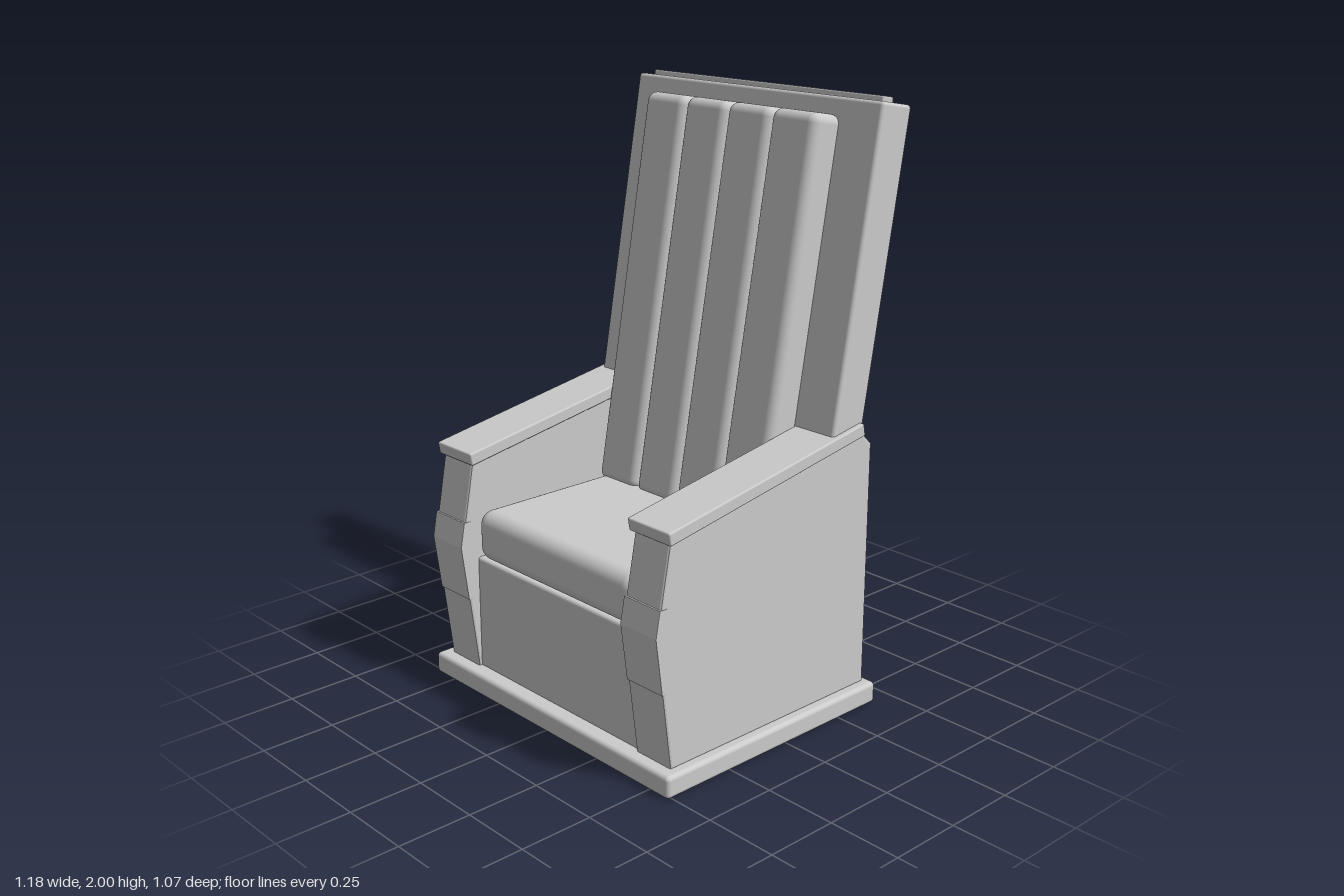
import * as THREE from 'three';
import { RoundedBoxGeometry } from 'three/addons/geometries/RoundedBoxGeometry.js';

const TILT = THREE.MathUtils.degToRad(10);

export function createModel() {
  const chair = new THREE.Group();
  chair.name = 'highBackChair';
  const grey = new THREE.MeshStandardMaterial({ color: 0xcccccc });
  grey.name = 'light grey';

  function add(name, geometry, x, y, z, parent = chair) {
    const mesh = new THREE.Mesh(geometry, grey);
    mesh.name = name;
    mesh.position.set(x, y, z);
    parent.add(mesh);
    return mesh;
  }
  const box = (w, h, d, r, segments = 3) => new RoundedBoxGeometry(w, h, d, segments, r);

  // Side profile given as [z, y] points, extruded across x with a small bevel
  function profile(points, width, bevel) {
    const shape = new THREE.Shape(points.map(([z, y]) => new THREE.Vector2(z, y)));
    const geometry = new THREE.ExtrudeGeometry(shape, {
      depth: width - 2 * bevel, bevelEnabled: true, bevelThickness: bevel,
      bevelSize: bevel, bevelOffset: -bevel, bevelSegments: 2,
    });
    geometry.translate(0, 0, bevel - width / 2);
    return geometry.rotateY(-Math.PI / 2);
  }

  // Plinth and seat
  add('plinth', box(1.18, 0.075, 0.945, 0.015), 0, 0.0375, 0.0475);
  add('seatBox', box(0.82, 0.4, 0.845, 0.012), 0, 0.27, 0.0425);
  add('seatCushion', box(0.78, 0.175, 0.78, 0.05, 5), 0, 0.5575, 0.09);

  // Arms, mirrored
  const armShape = [[-0.4, 0.07], [0.474, 0.07], [0.507, 0.33], [0.514, 0.6],
    [0.475, 0.81], [-0.345, 0.955], [-0.365, 0.945], [-0.4, 0.91]];
  const plateShape = [[0.49, 0.33], [0.51, 0.33], [0.535, 0.52], [0.519, 0.605], [0.49, 0.605]];
  for (const side of [1, -1]) {
    const arm = new THREE.Group();
    arm.name = side > 0 ? 'leftArm' : 'rightArm';
    arm.position.x = side * 0.476;
    chair.add(arm);
    add('armPanel', profile(armShape, 0.155, 0.008), 0, 0, 0, arm);
    add('armFrontPlate', profile(plateShape, 0.158, 0.002), 0, 0, 0, arm);
    add('armCap', box(0.182, 0.043, 0.855, 0.006, 2), 0, 0.895, 0.07, arm).rotation.x = TILT;
  }

  // Reclined back; local origin is the top front edge of the back panel
  const back = new THREE.Group();
  back.name = 'back';
  back.position.set(0, 1.993, -0.4);
  back.rotation.x = -TILT;
  chair.add(back);
  add('backPanel', box(1.1, 1.41, 0.138, 0.012), 0, -0.705, -0.069, back);
  add('topStrip', box(1.03, 0.034, 0.05, 0.005, 2), 0, 0, -0.063, back);
  for (let i = 0; i < 4; i++) {
    add('backPad' + (i + 1), box(0.193, 1.345, 0.13, 0.032, 4), (i - 1.5) * 0.194, -0.73, 0.045, back);
  }
  return chair;
}
